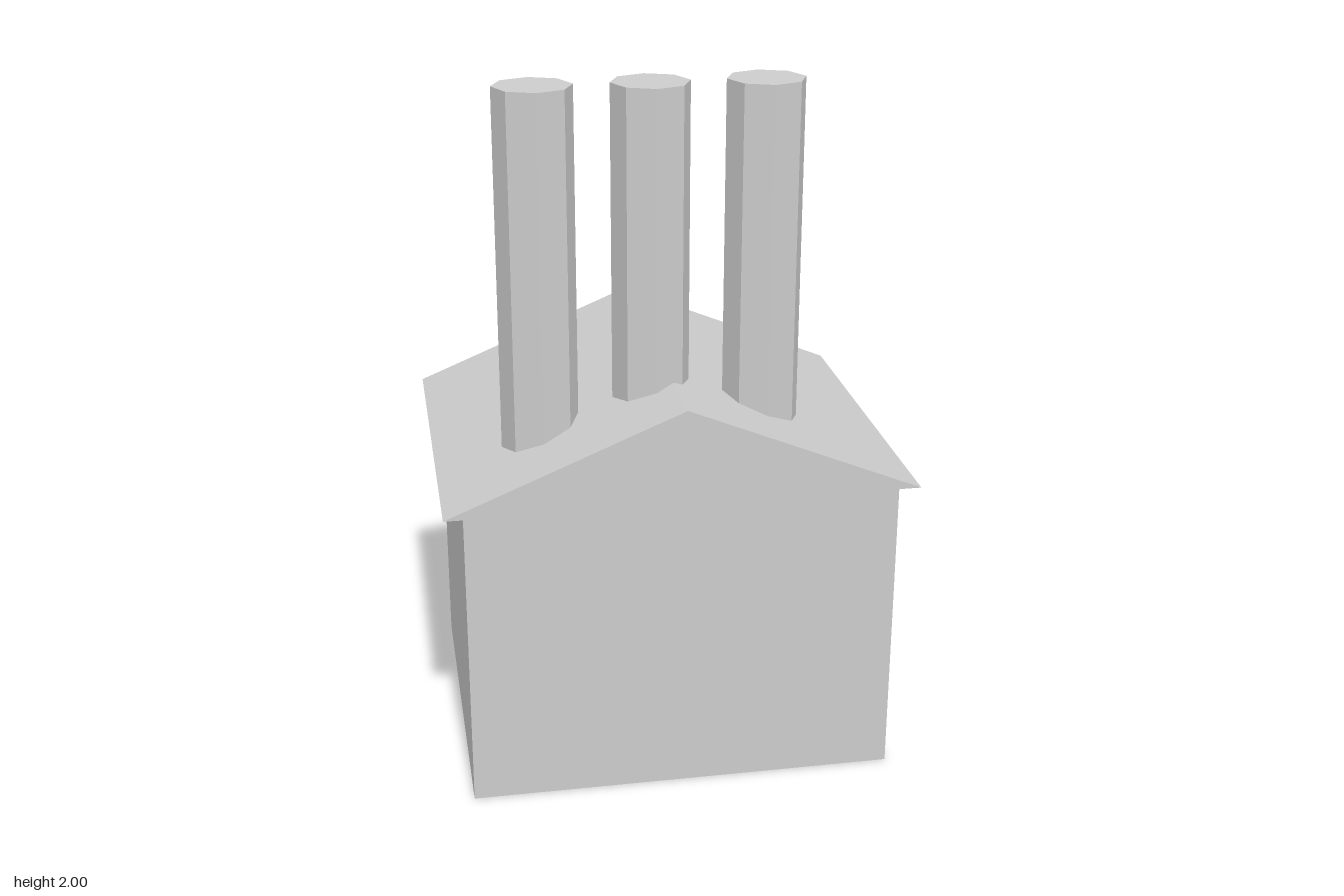
import * as THREE from 'three';

export function createModel() {
  const model = new THREE.Group();
  model.name = 'factoryHouse';
  const grey = new THREE.MeshStandardMaterial({ color: 0xcccccc });
  grey.name = 'plain grey';

  const add = (name, geometry, x, y, z) => {
    const mesh = new THREE.Mesh(geometry, grey);
    mesh.name = name;
    mesh.position.set(x, y, z);
    model.add(mesh);
  };

  // Walls, standing on the ground
  const eaves = 0.895;
  add('walls', new THREE.BoxGeometry(1.222, eaves, 1.04), 0, eaves / 2, 0.025);

  // Door slab on the back wall, slightly sunk into it
  add('door', new THREE.BoxGeometry(0.444, 0.625, 0.09), 0, 0.3125, -0.53);

  // Gabled roof: a triangular prism overhanging the walls
  const gable = new THREE.Shape([
    new THREE.Vector2(-0.666, 0),
    new THREE.Vector2(0.666, 0),
    new THREE.Vector2(0, 0.275),
  ]);
  add('roof', new THREE.ExtrudeGeometry(gable, { depth: 1.1, bevelEnabled: false }), 0, eaves, -0.528);

  // Row of three eight-sided chimneys rising through the roof
  const base = 0.92;
  const stack = new THREE.CylinderGeometry(0.11, 0.11, 2 - base, 8).toNonIndexed();
  stack.computeVertexNormals();
  [-0.368, -0.05, 0.268].forEach((x, i) => {
    add(`chimney${i + 1}`, stack, x, (2 + base) / 2, 0.266);
  });

  return model;
}
